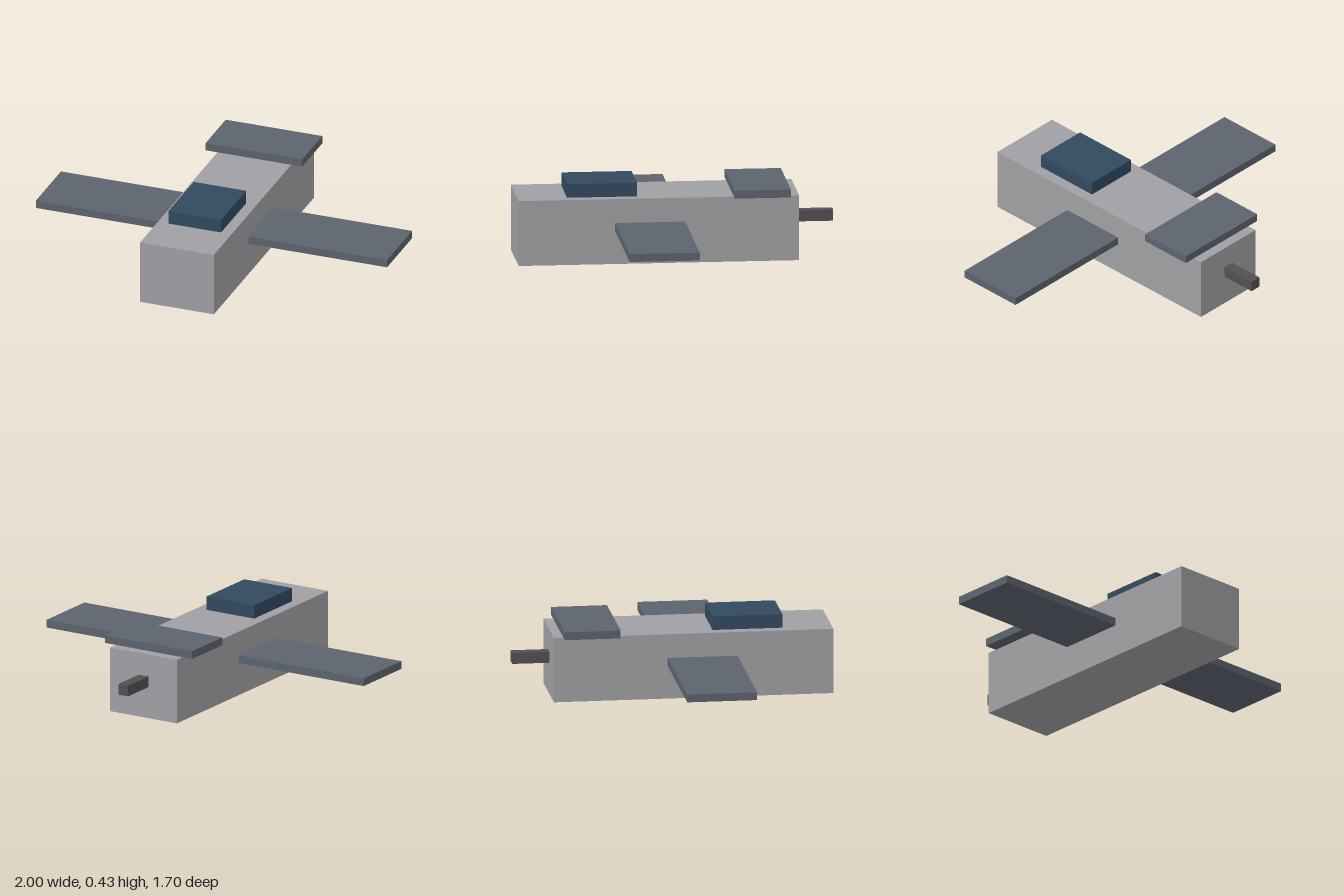
import * as THREE from 'three';

// Box given by its extents along each axis
function block(name, color, [x0, x1], [y0, y1], [z0, z1]) {
  const geometry = new THREE.BoxGeometry(x1 - x0, y1 - y0, z1 - z0);
  const material = new THREE.MeshStandardMaterial({ color, flatShading: true });
  const mesh = new THREE.Mesh(geometry, material);
  mesh.name = name;
  mesh.position.set((x0 + x1) / 2, (y0 + y1) / 2, (z0 + z1) / 2);
  return mesh;
}

export function createModel() {
  const model = new THREE.Group();
  model.name = 'aircraft';

  const hull = 0xa0a0a4, panel = 0x5c636d, glass = 0x32495e, dark = 0x524f53;

  // Long body with the cockpit on its front half
  model.add(block('fuselage', hull, [-0.21, 0.21], [0, 0.353], [-0.65, 0.85]));
  model.add(block('canopy', glass, [-0.15, 0.15], [0.35, 0.427], [0.21, 0.585]));

  // Mirrored wings, rooted on the body sides
  model.add(block('leftWing', panel, [0.21, 1], [0.18, 0.223], [-0.04, 0.335]));
  model.add(block('rightWing', panel, [-1, -0.21], [0.18, 0.223], [-0.04, 0.335]));

  // Tailplane on top of the rear, and the boom behind it
  model.add(block('tailplane', panel, [-0.275, 0.275], [0.356, 0.399], [-0.6, -0.3]));
  model.add(block('tailBoom', dark, [-0.03, 0.03], [0.172, 0.232], [-0.85, -0.65]));

  return model;
}
